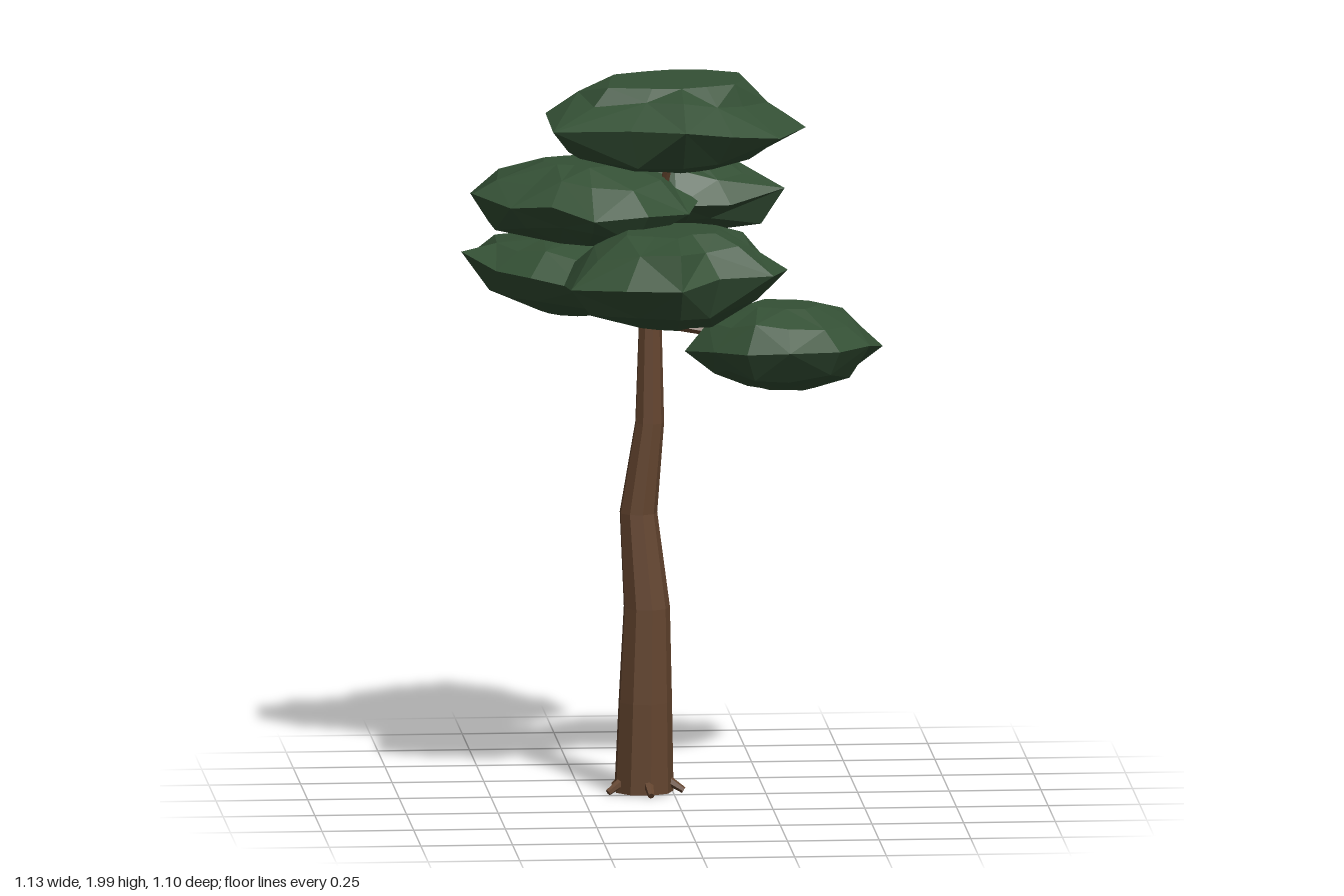
import * as THREE from 'three';

// Closed faceted solid from equal-length rings listed bottom to top
function loft(rings) {
  const pos = [];
  const tri = (a, b, c) => pos.push(...a, ...b, ...c);
  const n = rings[0].length;
  const mid = (r) => [0, 1, 2].map((k) => r.reduce((s, p) => s + p[k], 0) / n);
  const first = rings[0], last = rings[rings.length - 1];
  const lo = mid(first), hi = mid(last);
  for (let i = 0; i < n; i++) {
    const j = (i + 1) % n;
    tri(lo, first[i], first[j]);
    tri(hi, last[j], last[i]);
    for (let k = 0; k + 1 < rings.length; k++) {
      const a = rings[k], b = rings[k + 1];
      if ((i + k) % 2) {
        tri(a[i], b[i], b[j]);
        tri(a[i], b[j], a[j]);
      } else {
        tri(a[i], b[i], a[j]);
        tri(a[j], b[i], b[j]);
      }
    }
  }
  const g = new THREE.BufferGeometry();
  g.setAttribute('position', new THREE.Float32BufferAttribute(pos, 3));
  g.computeVertexNormals();
  return g;
}

function seeded(seed) {
  let s = seed;
  return () => (s = (s * 16807) % 2147483647) / 2147483647;
}

// Foliage pad: reach holds the rim's distance from (x, z) at equal angles; tilt slopes the rim along x
function padGeometry({ x, z, y0, y1, top, tilt, reach }, index) {
  const rnd = seeded(index * 7919 + 1013);
  const outline = reach.map((r, i) => {
    const a = (i / reach.length) * Math.PI * 2;
    return [Math.cos(a) * r, Math.sin(a) * r];
  });
  // [size, height, unevenness] from the underside to the top
  const levels = [[0.34, 0, 0], [0.76, 0.19, 0.04], [1, 0.52, 0.04], [0.72, 0.82, 0.035], [top, 1, 0]];
  return loft(levels.map(([size, h, rough]) => outline.map(([px, pz]) => {
    const s = size === 1 ? 1 : size * (0.88 + 0.24 * rnd());
    const y = y0 + (y1 - y0) * h + (rnd() - 0.5) * rough + (rough ? px * s * tilt : 0);
    return [x + px * s, y, z + pz * s];
  })));
}

// joint is the height where the pad's branch leaves the trunk
const PADS = [
  { name: 'crownFoliage', x: 0, z: 0.11, y0: 1.76, y1: 2, top: 0.52, tilt: -0.03, joint: 1.58,
    reach: [0.35, 0.31, 0.27, 0.3, 0.3, 0.41, 0.36, 0.34, 0.32, 0.28, 0.32, 0.36] },
  { name: 'upperRightFoliage', x: -0.24, z: 0, y0: 1.54, y1: 1.76, top: 0.36, tilt: 0, joint: 1.56,
    reach: [0.32, 0.31, 0.3, 0.28, 0.22, 0.25, 0.31, 0.35, 0.3, 0.28, 0.28, 0.29] },
  { name: 'upperBackFoliage', x: 0, z: -0.2, y0: 1.54, y1: 1.76, top: 0.4, tilt: 0, joint: 1.57,
    reach: [0.25, 0.35, 0.3, 0.28, 0.28, 0.28, 0.3, 0.31, 0.3, 0.32, 0.26, 0.21] },
  { name: 'lowerBackFoliage', x: -0.25, z: -0.27, y0: 1.3, y1: 1.51, top: 0.36, tilt: -0.12, joint: 1.39,
    reach: [0.29, 0.28, 0.27, 0.29, 0.28, 0.26, 0.31, 0.31, 0.25, 0.28, 0.3, 0.29] },
  { name: 'frontFoliage', x: -0.02, z: 0.25, y0: 1.35, y1: 1.61, top: 0.42, tilt: 0.02, joint: 1.42,
    reach: [0.31, 0.3, 0.22, 0.295, 0.3, 0.34, 0.3, 0.3, 0.26, 0.25, 0.26, 0.3] },
  { name: 'lowerLeftFoliage', x: 0.3, z: -0.015, y0: 1.13, y1: 1.355, top: 0.34, tilt: 0, joint: 1.31,
    reach: [0.27, 0.26, 0.27, 0.23, 0.23, 0.23, 0.27, 0.25, 0.25, 0.23, 0.23, 0.28] },
];

// Trunk joints: x, y, z, radius
const TRUNK = [
  [-0.08, 0.01, -0.05, 0.082], [-0.077, 0.26, -0.04, 0.074], [-0.073, 0.52, -0.036, 0.064],
  [-0.095, 0.78, -0.045, 0.052], [-0.065, 1.03, -0.034, 0.04], [-0.062, 1.52, -0.036, 0.025],
];

export function createModel() {
  const group = new THREE.Group();
  const bark = new THREE.MeshStandardMaterial({ color: 0x64452f, flatShading: true });
  const leaf = new THREE.MeshStandardMaterial({ color: 0x345035, flatShading: true });
  bark.name = 'bark brown';
  leaf.name = 'leaf green';

  const add = (geometry, material, name) => {
    const m = new THREE.Mesh(geometry, material);
    m.name = name;
    group.add(m);
    return m;
  };

  // Tapered stick between two points
  const stick = (a, b, r0, r1, name) => {
    const dir = b.clone().sub(a);
    const m = add(new THREE.CylinderGeometry(r1, r0, dir.length(), 6), bark, name);
    m.position.copy(a).add(b).multiplyScalar(0.5);
    m.quaternion.setFromUnitVectors(new THREE.Vector3(0, 1, 0), dir.normalize());
  };

  // Bent, tapering trunk
  add(loft(TRUNK.map(([x, y, z, r]) => Array.from({ length: 9 }, (_, i) => {
    const a = (i / 9) * Math.PI * 2;
    return [x + Math.cos(a) * r, y, z + Math.sin(a) * r];
  }))), bark, 'trunk');

  // Root stubs around the foot
  for (let i = 0; i < 5; i++) {
    const a = (i / 5) * Math.PI * 2 + 0.2;
    const at = (r, y) => new THREE.Vector3(-0.08 + Math.cos(a) * r, y, -0.05 + Math.sin(a) * r);
    stick(at(0.065, 0.042), at(0.11, 0.014), 0.014, 0.009, 'root');
  }

  // Foliage pads, each on a branch from the trunk
  PADS.forEach((pad, i) => {
    add(padGeometry(pad, i), leaf, pad.name);
    const from = new THREE.Vector3(-0.063, Math.min(pad.joint, 1.51), -0.036);
    const heart = new THREE.Vector3(pad.x, (pad.y0 + pad.y1) / 2, pad.z);
    stick(from, from.clone().lerp(heart, 0.7), 0.016, 0.011, 'branch');
  });
  return group;
}
